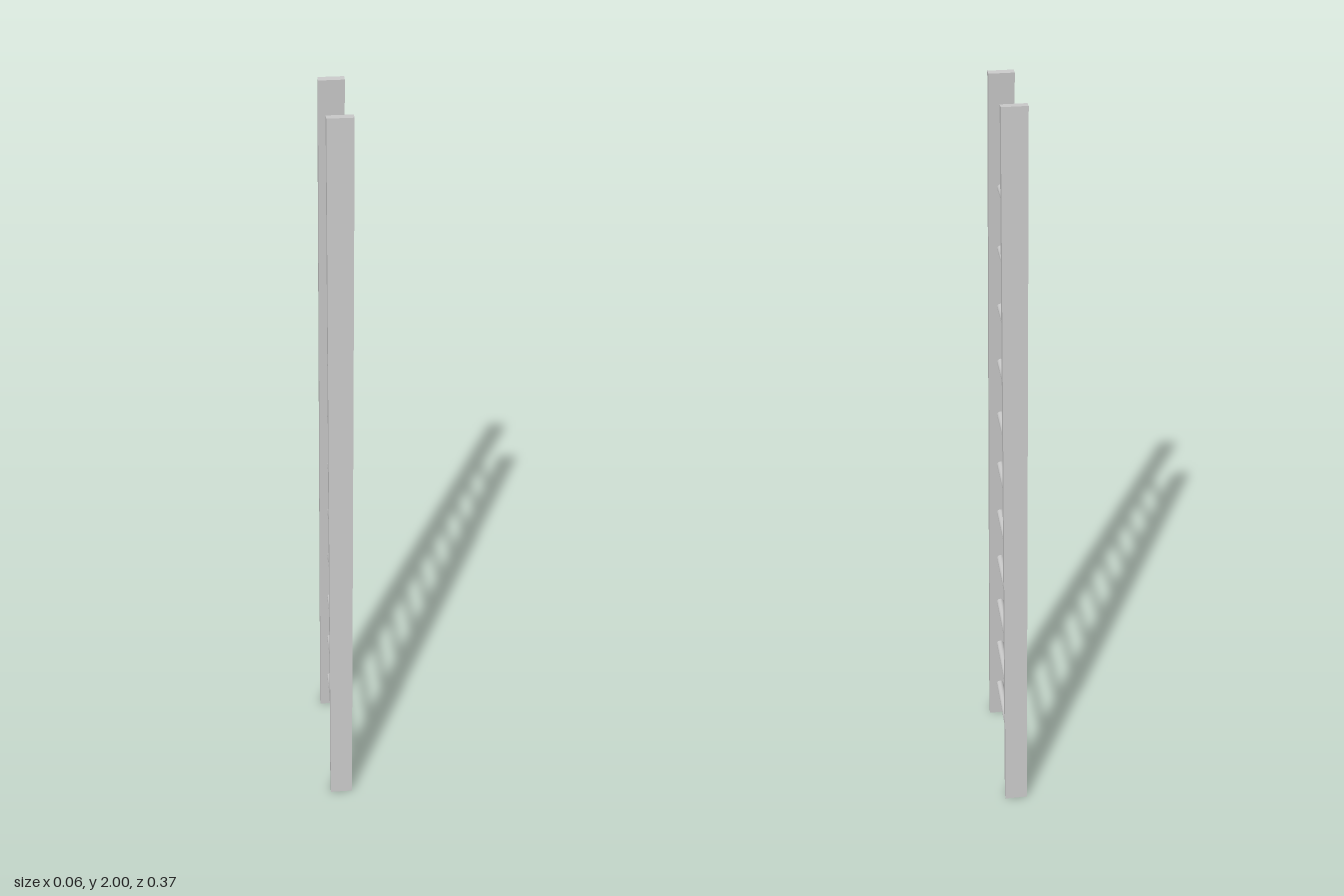
import * as THREE from 'three';

const HEIGHT = 2, RAIL_WIDTH = 0.06, RAIL_THICK = 0.019;
const BOTTOM_Z = 0.177, TOP_Z = 0.107; // rail centre lines at the two ends

export function createModel() {
  const model = new THREE.Group();
  model.name = 'ladder';
  const material = new THREE.MeshStandardMaterial({ color: 0xcccccc });

  // Two flat rails leaning towards each other at the top
  const lean = Math.atan((BOTTOM_Z - TOP_Z) / HEIGHT);
  const railGeometry = new THREE.BoxGeometry(RAIL_WIDTH, HEIGHT, RAIL_THICK);
  for (const side of [1, -1]) {
    const rail = new THREE.Mesh(railGeometry, material);
    rail.name = side > 0 ? 'frontRail' : 'backRail';
    rail.position.set(0, HEIGHT / 2, side * (BOTTOM_Z + TOP_Z) / 2);
    rail.rotation.x = -side * lean;
    model.add(rail);
  }

  // Eleven round rungs, shorter towards the top, let into the rails
  for (let i = 0; i < 11; i++) {
    const y = 0.12 + 0.16 * i;
    const length = 2 * THREE.MathUtils.lerp(BOTTOM_Z, TOP_Z, y / HEIGHT);
    const rung = new THREE.Mesh(new THREE.CylinderGeometry(0.01, 0.01, length, 12), material);
    rung.name = `rung${i + 1}`;
    rung.rotation.x = Math.PI / 2;
    rung.position.y = y;
    model.add(rung);
  }
  return model;
}
